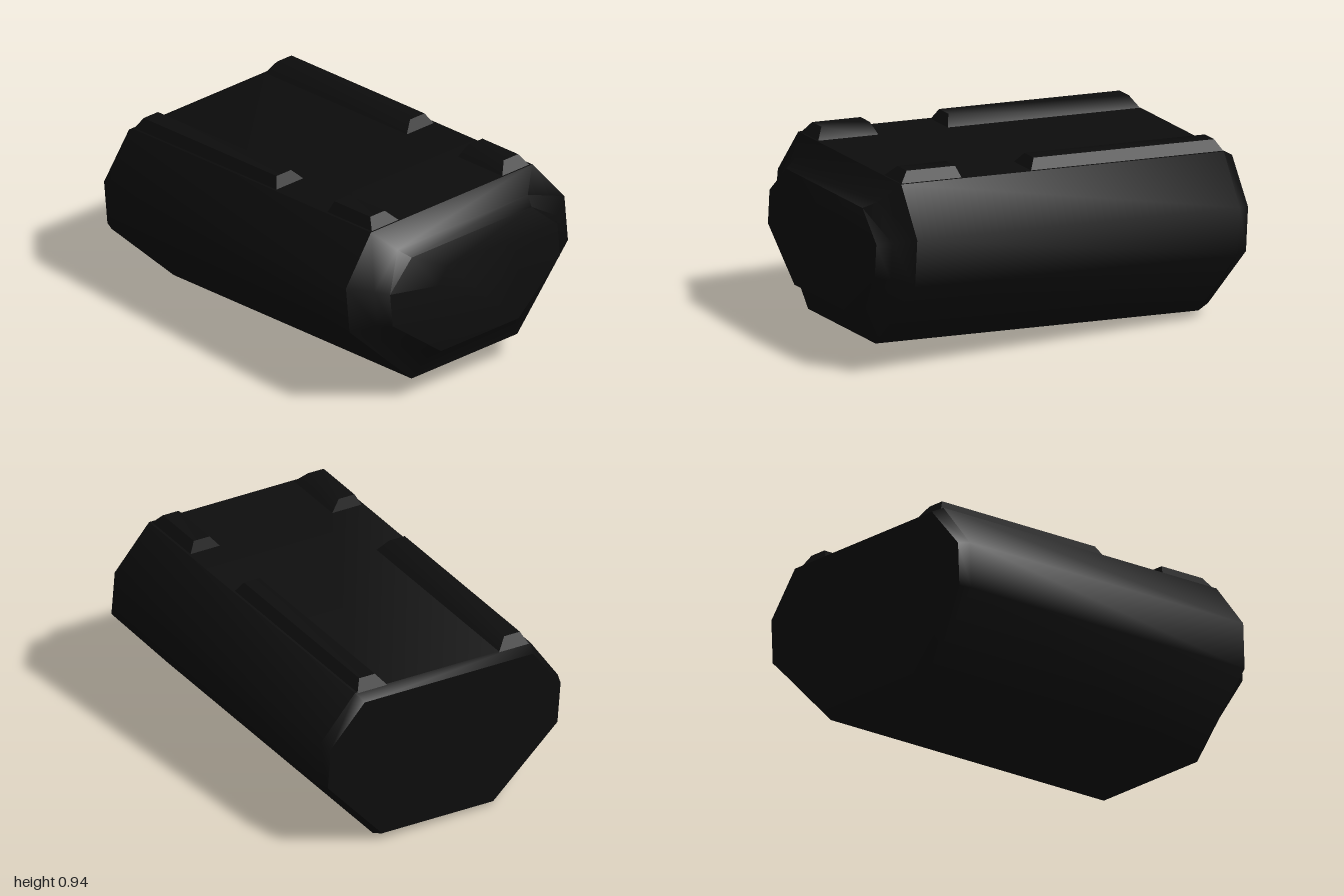
import * as THREE from 'three';
import { toCreasedNormals } from 'three/addons/utils/BufferGeometryUtils.js';

// Lofts closed rings (counter-clockwise seen from +z) and caps both ends.
function loft(rings) {
  const pos = [], n = rings[0].length;
  const tri = (a, b, c) => pos.push(...a, ...b, ...c);
  for (let i = 0; i < rings.length - 1; i++) {
    for (let j = 0; j < n; j++) {
      const k = (j + 1) % n, lo = rings[i], hi = rings[i + 1];
      tri(lo[j], lo[k], hi[k]);
      tri(lo[j], hi[k], hi[j]);
    }
  }
  const first = rings[0], last = rings[rings.length - 1];
  for (let j = 1; j < n - 1; j++) {
    tri(last[0], last[j], last[j + 1]);
    tri(first[0], first[j + 1], first[j]);
  }
  const g = new THREE.BufferGeometry();
  g.setAttribute('position', new THREE.Float32BufferAttribute(pos, 3));
  return toCreasedNormals(g, 0.85);
}

// Mirrored eight-sided section: top, shoulder, waist and bottom corners.
function section(z, topX, topY, sideX, upY, lowY, botX, botY) {
  const half = [[botX, botY], [sideX, lowY], [sideX, upY], [topX, topY]];
  const other = half.map(([x, y]) => [-x, y]).reverse();
  return [...half, ...other].map(([x, y]) => [x, y, z]);
}

export function createModel() {
  const black = new THREE.MeshStandardMaterial({ color: 0x0d0d0d });
  black.name = 'black';

  const model = new THREE.Group();
  model.name = 'casing';
  const body = new THREE.Group();
  body.name = 'tiltedCasing';
  model.add(body);

  const add = (name, geometry) => {
    const mesh = new THREE.Mesh(geometry, black);
    mesh.name = name;
    body.add(mesh);
  };

  // Shell with a shallow back bevel and a stepped, slightly domed front
  add('shell', loft([
    section(-0.852, 0.44, 0.36, 0.6, 0.168, -0.03, 0.29, -0.345),
    section(-0.80, 0.458, 0.385, 0.62, 0.175, -0.035, 0.30, -0.37),
    section(0.80, 0.458, 0.385, 0.62, 0.175, -0.035, 0.30, -0.37),
    section(0.863, 0.37, 0.29, 0.515, 0.14, -0.025, 0.24, -0.26),
    section(0.92, 0.34, 0.26, 0.475, 0.13, -0.02, 0.22, -0.23),
    section(0.94, 0.16, 0.16, 0.225, 0.09, 0, 0.11, -0.13),
  ]));

  // Raised rails along the top: a long one behind a short one on each side
  const rail = (side, z0, z1, slope0, slope1) => {
    const low = 0.375, high = 0.433;
    const profile = (z, y) => {
      const inner = y === low ? 0.285 : 0.338, outer = y === low ? 0.452 : 0.425;
      const pts = [[inner, low], [outer, low], [outer - (y === low ? 0 : 0.005), y], [inner, y]];
      if (y === high) { pts[0][0] = 0.285; pts[1][0] = 0.452; }
      const ring = pts.map(([x, h]) => [side * x, h, z]);
      return side > 0 ? ring : ring.reverse();
    };
    // ends slope up from the shell
    const start = profile(z0 + slope0, high), end = profile(z1 - slope1, high);
    const pull = (ring, z) => ring.forEach((p) => { if (p[1] === low) p[2] = z; });
    pull(start, z0);
    pull(end, z1);
    return loft([start, end]);
  };
  for (const side of [1, -1]) {
    const name = side > 0 ? 'left' : 'right';
    add(name + 'LongRail', rail(side, -0.81, 0.155, 0.04, 0.03));
    add(name + 'ShortRail', rail(side, 0.49, 0.80, 0.025, 0.045));
  }

  // Resting pose: turned, pitched and slightly rolled
  const along = new THREE.Vector3(-0.257, 0.074, 1).normalize();
  const across = new THREE.Vector3(1, 0.036, 0.254).normalize();
  const up = along.clone().cross(across).normalize();
  across.crossVectors(up, along);
  const pose = new THREE.Matrix4().makeBasis(across, up, along);
  body.quaternion.setFromRotationMatrix(pose);
  body.position.set(0, 0.4425, -0.015);
  return model;
}
